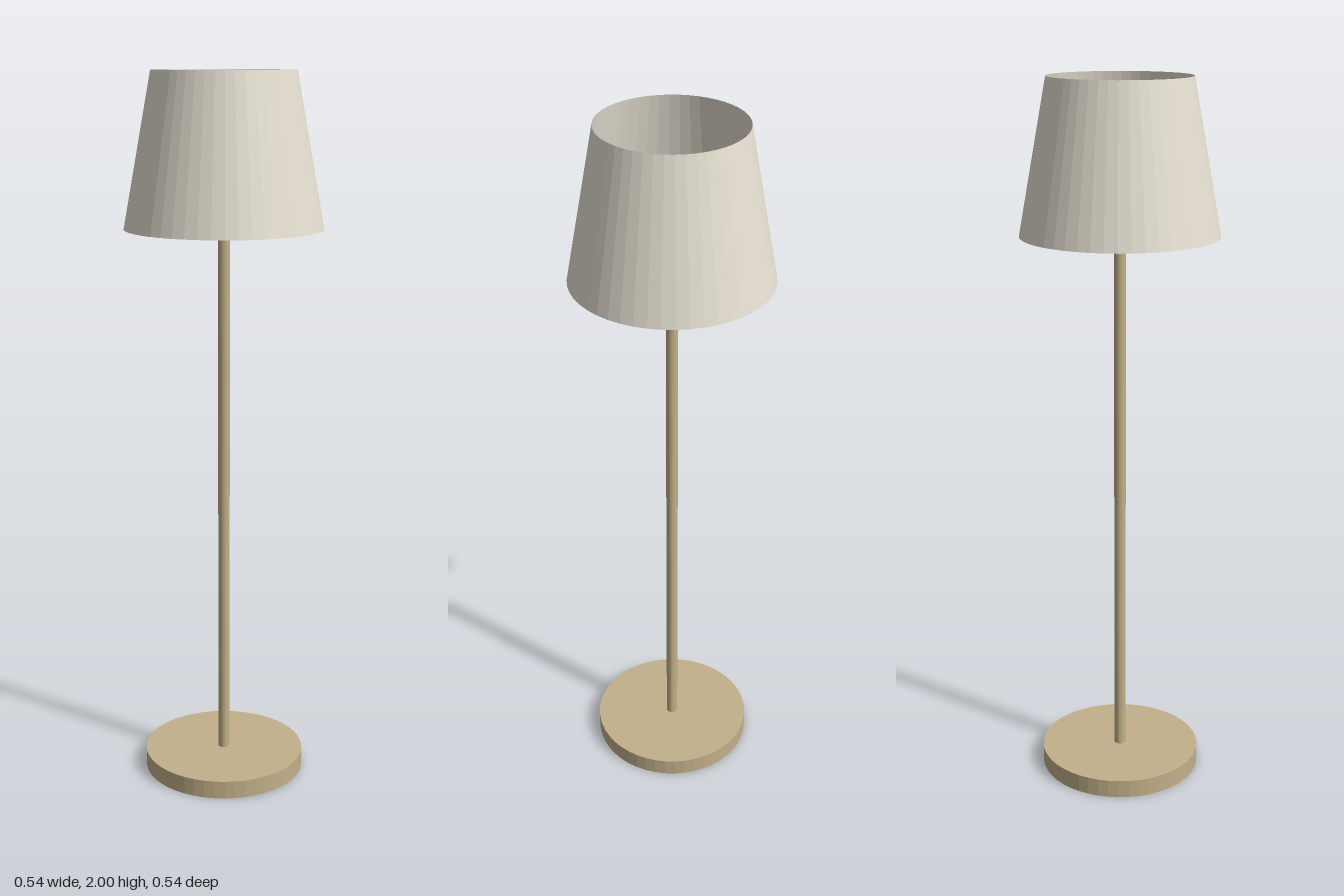
import * as THREE from 'three';

const SIDES = 48;

export function createModel() {
  const lamp = new THREE.Group();
  lamp.name = 'floorLamp';

  const brass = new THREE.MeshStandardMaterial({ color: 0xc2b08a, flatShading: true });
  brass.name = 'brushed brass';
  const linen = new THREE.MeshStandardMaterial({ color: 0xe8e2d4, flatShading: true, side: THREE.DoubleSide });
  linen.name = 'cream linen';

  // Upright round part spanning two heights
  const addRound = (name, material, rTop, rBottom, y0, y1, sides, open = false) => {
    const geometry = new THREE.CylinderGeometry(rTop, rBottom, y1 - y0, sides, 1, open);
    const mesh = new THREE.Mesh(geometry, material);
    mesh.name = name;
    mesh.position.y = (y0 + y1) / 2;
    lamp.add(mesh);
  };

  addRound('base', brass, 0.23, 0.23, 0, 0.052, SIDES);
  // The pole ends inside the shade
  addRound('pole', brass, 0.0165, 0.0165, 0.052, 1.7, 24);
  // Thin tapered shade, open at both ends
  addRound('shade', linen, 0.195, 0.272, 1.582, 2, SIDES, true);

  return lamp;
}
